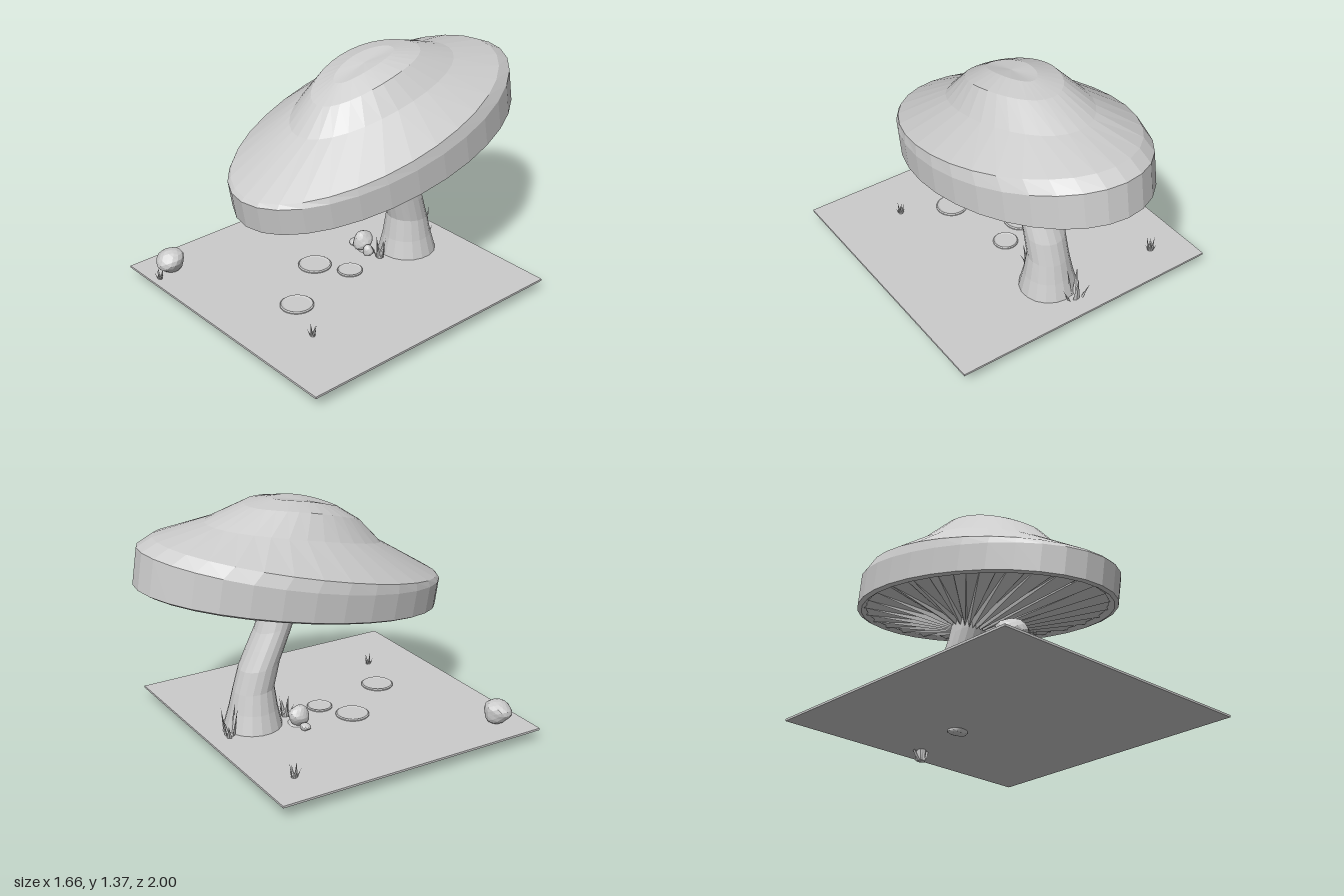
import * as THREE from 'three';

const flat = new THREE.MeshStandardMaterial({ color: 0xcccccc, flatShading: true });
const thin = new THREE.MeshStandardMaterial({ color: 0xcccccc, flatShading: true, side: THREE.DoubleSide });

// Skin over a list of rings, top to bottom; at(ring, k) gives the point at step k
function loft(rings, n, at) {
  const pos = [], idx = [];
  rings.forEach((r, i) => {
    for (let k = 0; k <= n; k++) {
      pos.push(...at(r, k % n));
      if (i > 0 && k < n) {
        const b = i * (n + 1) + k, a = b - n - 1;
        idx.push(a, b, b + 1, a, b + 1, a + 1);
      }
    }
  });
  const g = new THREE.BufferGeometry();
  g.setAttribute('position', new THREE.Float32BufferAttribute(pos, 3));
  g.setIndex(idx);
  g.computeVertexNormals();
  return g;
}

// Tilted ellipse: [half width, front z, front y, back z, back y, lift at the sides]
function ellipse(r, k, n) {
  const t = (k / n) * Math.PI * 2, c = Math.cos(t), s = Math.sin(t), f = (1 + c) / 2;
  return [
    0.06 + r[0] * s,
    r[4] + (r[2] - r[4]) * f + (r[5] || 0) * s * s,
    r[3] + (r[1] - r[3]) * f,
  ];
}

function createModel() {
  const model = new THREE.Group();
  const add = (name, geo, mat = flat, parent = model) => {
    const m = new THREE.Mesh(geo, mat);
    m.name = name;
    parent.add(m);
    return m;
  };

  // Ground plate
  add('ground', new THREE.BoxGeometry(1.66, 0.012, 1.66)).position.set(0, 0.067, 0.17);

  // Cap: crown, slope, rim band and inner lip
  const cap = [
    [0, 0, 1.33, 0, 1.33],
    [0.09, 0.2, 1.27, -0.2, 1.37, 0.02],
    [0.21, 0.33, 1.18, -0.36, 1.355, 0.04],
    [0.315, 0.46, 1.04, -0.59, 1.285, 0.03],
    [0.535, 0.82, 0.81, -0.88, 1.24, 0],
    [0.55, 0.84, 0.79, -0.97, 1.2, -0.025],
    [0.55, 0.815, 0.635, -1.0, 1.0, 0],
    [0.53, 0.79, 0.63, -0.97, 0.98, 0],
    [0.51, 0.75, 0.66, -0.93, 0.99, 0],
  ];
  add('cap', loft(cap, 32, (r, k) => ellipse(r, k, 32)), thin);

  // Gills: folded fan running from the lip to the stalk
  const gills = [[0.525, 0.78, 0.665, -0.95, 1.0, 0], [0.09, -0.08, 0.69, -0.29, 0.75, 0]];
  add('gills', loft(gills, 56, (r, k) => {
    const p = ellipse(r, k, 56);
    p[1] += k % 2 ? 0.025 : -0.015;
    return p;
  }), thin);

  // Stalk: curved, flared at the foot; rings are [y, z, radius, slope]
  const stalk = [
    [0.78, -0.16, 0.112, 0.35], [0.66, -0.2, 0.114, 0.32], [0.56, -0.245, 0.116, 0.25],
    [0.44, -0.3, 0.118, 0.2], [0.3, -0.338, 0.118, 0.08], [0.18, -0.342, 0.14, 0],
    [0.07, -0.345, 0.168, 0],
  ];
  add('stalk', loft(stalk, 18, (r, k) => {
    const t = (k / 18) * Math.PI * 2;
    const dz = r[2] * Math.cos(t);
    return [0.055 + r[2] * Math.sin(t), r[0] + dz * r[3], r[1] + dz];
  }));

  // Stepping stones: thin discs with a shallow dished top
  [[-0.136, 0.2, 0.096], [0.045, 0.09, 0.073], [0.125, 0.545, 0.094]].forEach(([x, z, r]) => {
    const profile = [[r, 0], [r, 0.007], [r * 0.93, 0.012], [r * 0.8, 0.008], [0, 0.008]];
    const geo = new THREE.LatheGeometry(profile.map((p) => new THREE.Vector2(...p)), 24);
    add('steppingStone', geo).position.set(x, 0.072, z);
  });

  // Rocks: lumpy balls, [x, y, z, half sizes, phase]
  [
    [-0.645, 0.138, 0.85, 0.085, 0.072, 0.08, 0.5],
    [-0.09, 0.13, -0.13, 0.058, 0.062, 0.06, 2],
    [-0.165, 0.09, -0.13, 0.035, 0.022, 0.03, 1],
    [-0.02, 0.1, -0.11, 0.032, 0.035, 0.032, 3],
    [-0.065, 0.062, -0.14, 0.06, 0.03, 0.05, 4],
  ].forEach(([x, y, z, a, b, c, s]) => {
    const geo = new THREE.IcosahedronGeometry(1, 2), p = geo.attributes.position;
    const v = new THREE.Vector3();
    for (let i = 0; i < p.count; i++) {
      v.fromBufferAttribute(p, i);
      const k = 0.97 + 0.08 * Math.sin(3 * v.x + s) + 0.07 * Math.sin(4 * v.y + 2 * v.z + s);
      p.setXYZ(i, v.x * k * a, v.y * k * b, v.z * k * c);
    }
    geo.computeVertexNormals();
    add('rock', geo).position.set(x, y, z);
  });

  // Grass tufts: flattened pointed blades fanning outward, [x, y, z, height, spread, blades]
  [
    [0.41, 0.07, 0.67, 0.075, 0.02, 6],
    [-0.6, 0.07, 0.95, 0.07, 0.02, 6],
    [-0.6, 0.07, -0.46, 0.09, 0.025, 6],
    [0.045, 0.07, -0.14, 0.13, 0.03, 6],
    [0.0, 0.0, -0.52, 0.25, 0.025, 5],
  ].forEach(([x, y, z, h, spread, n]) => {
    const tuft = new THREE.Group();
    tuft.name = 'grassTuft';
    tuft.position.set(x, y, z);
    for (let i = 0; i < n; i++) {
      const len = h * (i % 2 ? 0.7 : 1);
      const pivot = new THREE.Group();
      pivot.rotation.y = (i / n) * Math.PI * 2 + 0.4;
      const geo = new THREE.ConeGeometry(h * 0.11, len, 4);
      geo.scale(1, 1, 0.35);
      geo.translate(0, len / 2, 0);
      const blade = add('blade', geo, flat, pivot);
      blade.position.z = spread * 0.5;
      blade.rotation.x = i % 2 ? 0.42 : 0.15;
      tuft.add(pivot);
    }
    model.add(tuft);
  });

  return model;
}

export { createModel };
